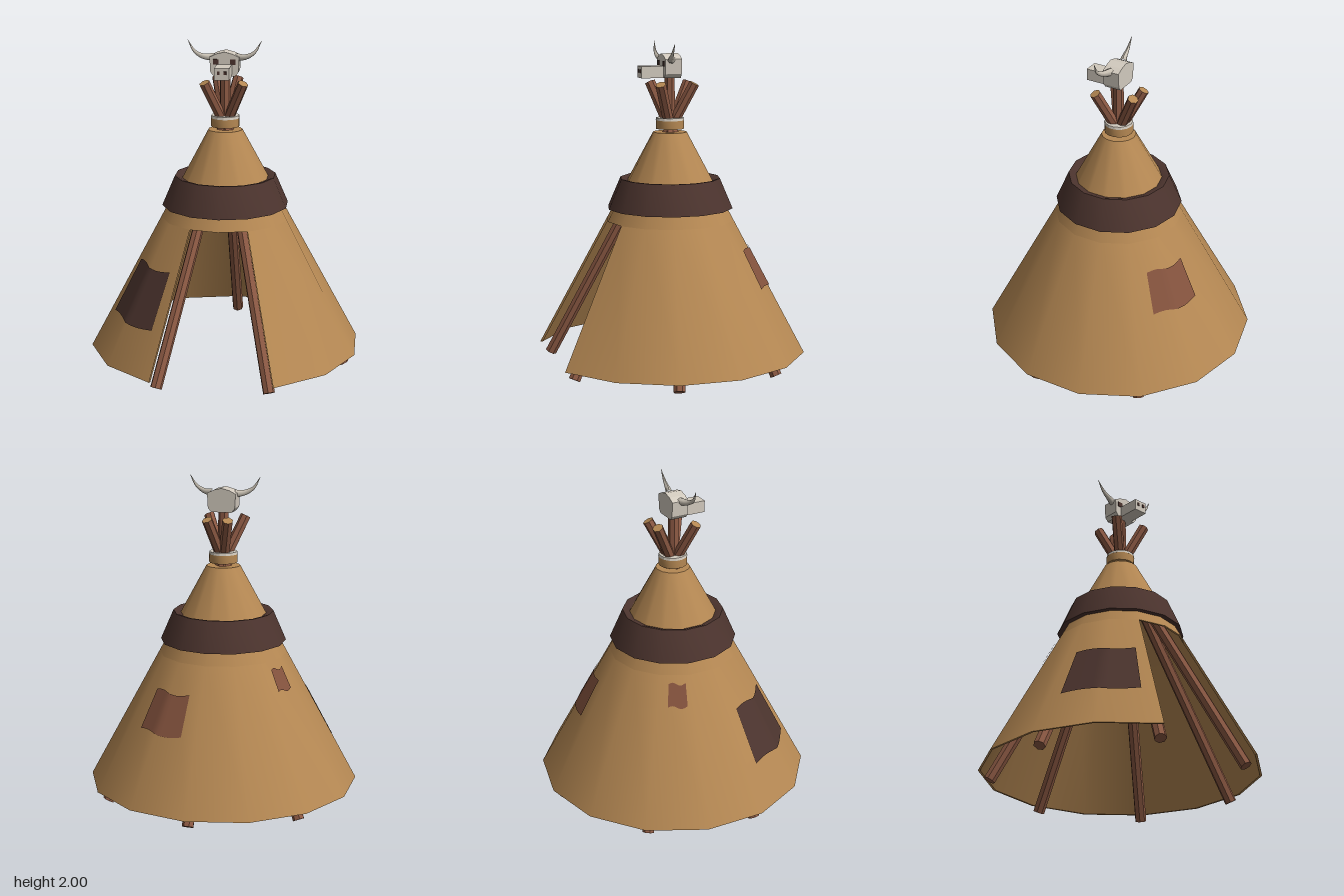
import * as THREE from 'three';
import { toCreasedNormals } from 'three/addons/utils/BufferGeometryUtils.js';

const SIDES = 14, STEP = (Math.PI * 2) / SIDES, CZ = 0.035;
const rad = THREE.MathUtils.degToRad;
const coneR = (y) => 0.845 - 0.54 * (y - 0.08);

export function createModel() {
  const group = new THREE.Group();
  const mat = (name, color, opts = {}) => {
    const m = new THREE.MeshStandardMaterial({ color, ...opts });
    m.name = name;
    return m;
  };
  const hide = mat('tan hide', 0xb58853, { side: THREE.DoubleSide });
  const dark = mat('dark hide', 0x4c342e, { side: THREE.DoubleSide });
  const wood = mat('brown wood', 0x8d5a44, { flatShading: true });
  const patchBrown = mat('brown patch', 0x83523d, { side: THREE.DoubleSide });
  const bone = mat('bone', 0xd2cabe, { flatShading: true });
  const horn = mat('horn', 0xc6beb1);

  const add = (name, geo, material, parent = group) => {
    const mesh = new THREE.Mesh(geo, material);
    mesh.name = name;
    parent.add(mesh);
    return mesh;
  };
  // turned part around the tent axis, sharp along its rims
  const turned = (name, pts, material, segs = SIDES, start = 0, length = Math.PI * 2) => {
    const geo = new THREE.LatheGeometry(pts.map((p) => new THREE.Vector2(...p)), segs, start, length);
    const mesh = add(name, toCreasedNormals(geo, 0.6), material);
    mesh.position.z = CZ;
    return mesh;
  };

  // cover: lower wall with a two-panel doorway, full cone above it
  const T = 0.014, DOOR = 0.905;
  turned('lowerCover', [
    [coneR(0.08), 0.08], [coneR(DOOR), DOOR], [coneR(DOOR) - T, DOOR], [coneR(0.08) - T, 0.08], [coneR(0.08), 0.08],
  ], hide, SIDES - 2, STEP, STEP * (SIDES - 2));
  turned('upperCover', [
    [coneR(DOOR) - T, DOOR], [coneR(DOOR), DOOR], [coneR(1.45), 1.45], [0.03, 1.45], [coneR(DOOR) - T, DOOR],
  ], hide);

  // dark skirt band around the upper cone
  turned('band', [[0.35, 0.98], [0.392, 0.98], [0.312, 1.165], [0.3, 1.165], [0.264, 1.15]], dark);

  // collar tying the poles, with a pale cord on top
  turned('collar', [[0.03, 1.47], [0.088, 1.47], [0.088, 1.525], [0.03, 1.525]], hide);
  turned('collarCord', [[0.03, 1.522], [0.089, 1.522], [0.086, 1.538], [0.03, 1.538]], bone);

  // seven leaning poles; four of them cross and stick out of the top
  const up = new THREE.Vector3(0, 1, 0);
  const pole = (name, from, to, r) => {
    const dir = to.clone().sub(from);
    const geo = new THREE.CylinderGeometry(r * 0.92, r, dir.length(), 7);
    const mesh = add(name, geo, [wood, wood, wood]);
    mesh.material = [wood, hide, wood];
    mesh.position.copy(from).add(to).multiplyScalar(0.5);
    mesh.quaternion.setFromUnitVectors(up, dir.normalize());
  };
  for (let i = 0; i < 7; i++) {
    const a = Math.PI + (i * Math.PI * 2) / 7;
    const at = (r, y) => new THREE.Vector3(Math.sin(a) * r, y, CZ + Math.cos(a) * r);
    const long = [1, 3, 4, 6].includes(i);
    pole('pole', at(0.775, 0.02), long ? at(-0.15, 1.75) : at(0.012, 1.46), 0.036);
  }
  pole('centrePole', new THREE.Vector3(0, 1.4, 0.038), new THREE.Vector3(0, 1.82, 0.038), 0.035);

  // patches lying on the faceted cover, angles in degrees from the front
  const patch = (name, a0, a1, y0, y1, material) => {
    const geo = new THREE.PlaneGeometry(1, 1, 12, 4);
    const p = geo.attributes.position;
    for (let i = 0; i < p.count; i++) {
      const u = p.getX(i) + 0.5, v = p.getY(i) + 0.5;
      const a = rad(a0 + (a1 - a0) * u);
      const y = y0 + (y1 - y0) * v + 0.008 * Math.sin(u * 7);
      const off = (((a % STEP) + STEP) % STEP) - STEP / 2;
      const r = (coneR(y) * Math.cos(STEP / 2)) / Math.cos(off) + 0.009;
      p.setXYZ(i, Math.sin(a) * r, y, CZ + Math.cos(a) * r);
    }
    geo.computeVertexNormals();
    add(name, geo, material);
  };
  patch('frontPatch', -70.5, -32.5, 0.335, 0.655, dark);
  patch('backPatch', 140, 171, 0.505, 0.735, patchBrown);
  patch('smallPatch', -121, -107, 0.735, 0.86, patchBrown);

  // skull: cranium, snout, eyes, nostrils and horns
  const skull = new THREE.Group();
  skull.name = 'skull';
  group.add(skull);
  const outline = new THREE.Shape([
    [-0.065, 1.785], [0.065, 1.785], [0.085, 1.81], [0.09, 1.9], [0.05, 1.92], [0, 1.932], [-0.05, 1.92], [-0.09, 1.9], [-0.085, 1.81],
  ].map((p) => new THREE.Vector2(...p)));
  const cranium = new THREE.ExtrudeGeometry(outline, { depth: 0.105, bevelEnabled: false });
  add('cranium', cranium, bone, skull).position.z = -0.015;
  const box = (name, w, h, d, x, y, z, m) =>
    add(name, new THREE.BoxGeometry(w, h, d), m, skull).position.set(x, y, z);
  box('snout', 0.09, 0.072, 0.145, 0, 1.821, 0.155, bone);
  for (const s of [-1, 1]) {
    box('eye', 0.034, 0.032, 0.008, s * 0.052, 1.872, 0.09, dark);
    box('nostril', 0.015, 0.02, 0.008, s * 0.02, 1.828, 0.229, dark);

    // tapered horn: a tube whose rings shrink towards the tip
    const curve = new THREE.CatmullRomCurve3([
      [0.07, 1.895, 0.045], [0.125, 1.9, 0.068], [0.18, 1.93, 0.075], [0.223, 2.0, 0.07],
    ].map(([x, y, z]) => new THREE.Vector3(s * x, y, z)));
    const N = 10, M = 7;
    const geo = new THREE.TubeGeometry(curve, N, 0.024, M);
    const p = geo.attributes.position, v = new THREE.Vector3();
    for (let i = 0; i < p.count; i++) {
      const t = Math.floor(i / (M + 1)) / N;
      const c = curve.getPointAt(t);
      v.fromBufferAttribute(p, i).sub(c).multiplyScalar(1 - 0.97 * t).add(c);
      p.setXYZ(i, v.x, v.y, v.z);
    }
    geo.computeVertexNormals();
    add('horn', geo, horn, skull);
  }
  return group;
}
